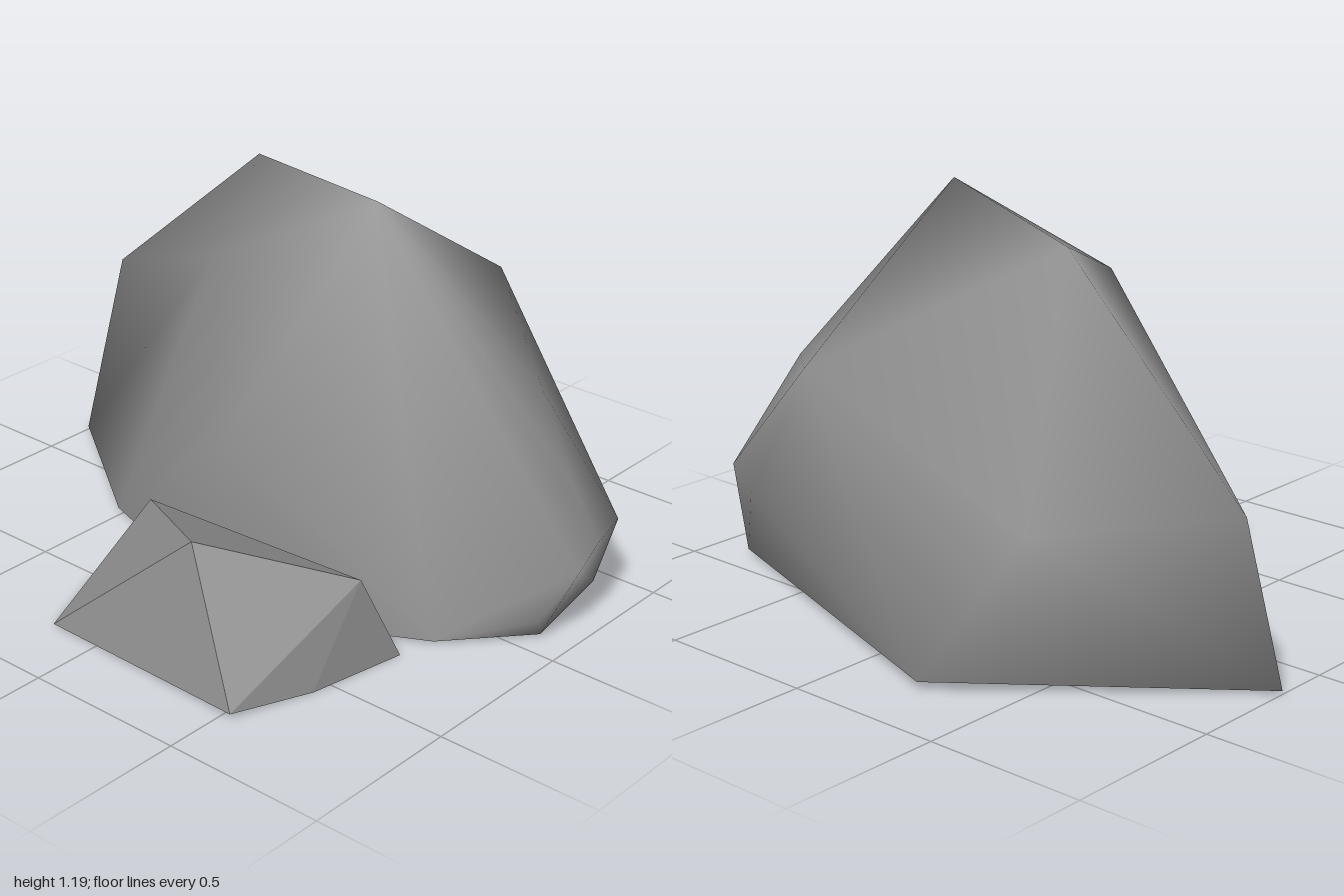
import * as THREE from 'three';
import { ConvexGeometry } from 'three/addons/geometries/ConvexGeometry.js';
import { mergeVertices } from 'three/addons/utils/BufferGeometryUtils.js';

// Convex shell around the corners, left open underneath
function openHull(corners, smooth) {
  const closed = new ConvexGeometry(corners.map((c) => new THREE.Vector3(...c)));
  const pos = closed.getAttribute('position');
  const points = [];
  const tri = new THREE.Triangle();
  const normal = new THREE.Vector3();
  for (let i = 0; i < pos.count; i += 3) {
    tri.setFromAttributeAndIndices(pos, i, i + 1, i + 2);
    if (tri.getNormal(normal).y > -0.9) points.push(tri.a.clone(), tri.b.clone(), tri.c.clone());
  }
  let shell = new THREE.BufferGeometry().setFromPoints(points);
  if (smooth) shell = mergeVertices(shell);
  shell.computeVertexNormals();
  return shell;
}

export function createModel() {
  const group = new THREE.Group();
  const stone = new THREE.MeshStandardMaterial({ color: 0x8c8c8c, side: THREE.DoubleSide });
  stone.name = 'grey stone';

  const add = (name, geometry) => {
    const mesh = new THREE.Mesh(geometry, stone);
    mesh.name = name;
    group.add(mesh);
  };

  // Large boulder: a smooth open shell
  add('largeBoulder', openHull([
    // ridge
    [0.35, 1.19, 0], [-0.28, 1.12, -0.22], [-0.11, 0.96, 0.17],
    // back shoulder
    [0.28, 0.77, -0.68], [-0.6, 0.5, -0.76], [0.73, 0.64, -0.28], [0.5, 0.36, -0.61],
    // left end
    [-1, 0.55, -0.35], [-1, 0.01, -0.17],
    // right end
    [0.9, 0.44, -0.2], [1, 0.29, -0.19], [0.99, 0.22, -0.12], [0.94, 0.27, -0.38], [0.68, 0.28, -0.54],
    // front belly
    [0.09, 0.5, 0.36],
    // foot
    [0.09, 0.01, 0.375], [-0.52, 0.01, 0.17], [0.53, 0.01, 0.24], [0.7, 0.01, 0.15],
    [0.9, 0.01, -0.08], [0.905, 0.06, -0.06], [0.85, 0.02, -0.41], [-0.26, 0.03, -0.805],
  ], true));

  // Small faceted rock lying in front
  add('smallRock', openHull([
    [0.27, 0.385, 0.67], [-0.11, 0.29, 0.44], [0.595, 0.25, 0.345],
    [-0.28, 0, 0.52], [-0.17, 0.005, 0.78], [0.53, 0.015, 0.805],
    [0.61, 0, 0.56], [0.665, 0, 0.255], [-0.1, 0, 0.26],
  ], false));

  return group;
}
